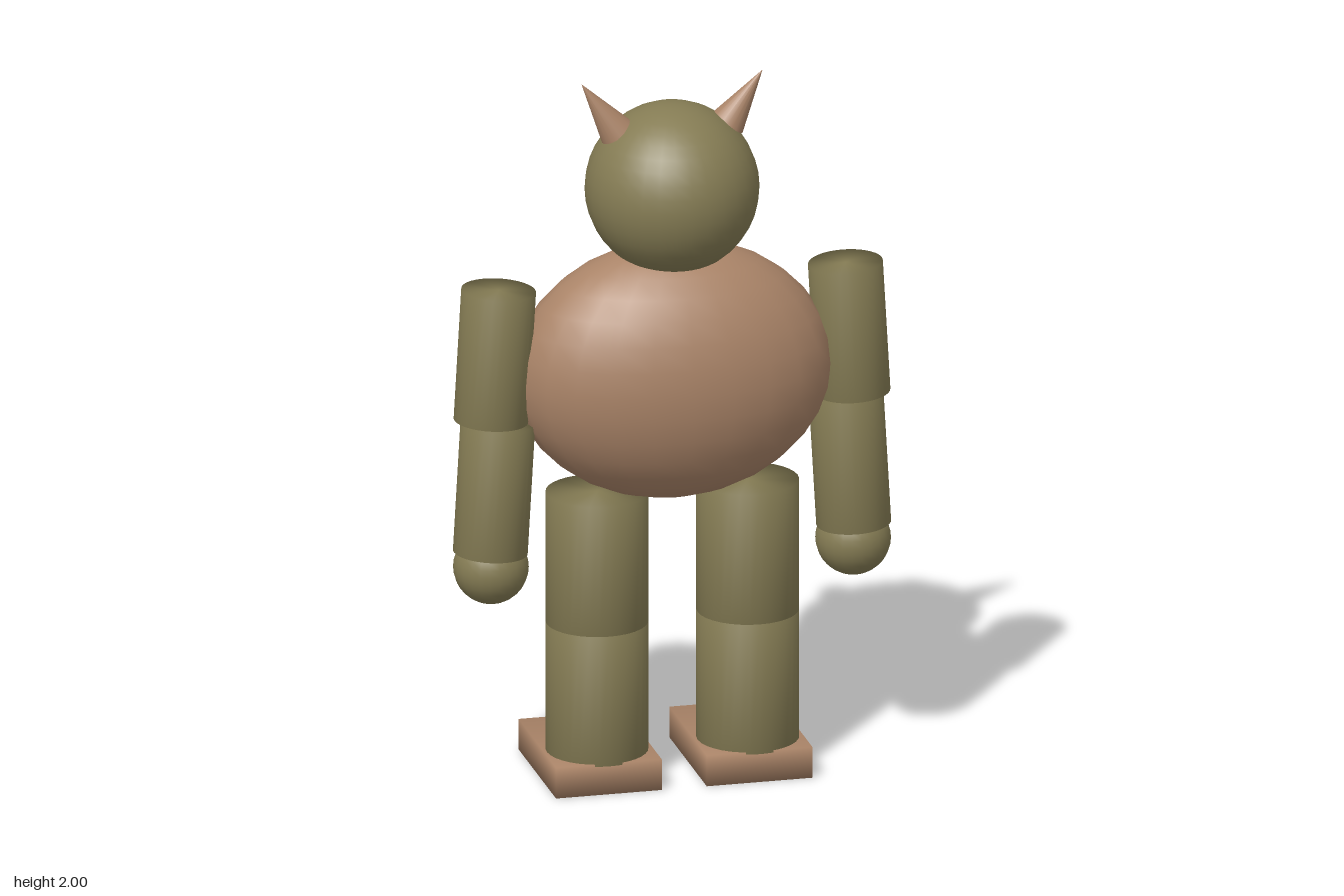
import * as THREE from 'three';
import { mergeVertices } from 'three/addons/utils/BufferGeometryUtils.js';

const olive = new THREE.MeshStandardMaterial({ name: 'oliveSkin', color: 0x857c54 });
const brown = new THREE.MeshStandardMaterial({ name: 'brownHide', color: 0xaa8468 });
const blue = new THREE.MeshStandardMaterial({ name: 'blueEye', color: 0x64c2da });

// Shares corners so that shading flows softly over every edge
function soften(geometry) {
  geometry.deleteAttribute('normal');
  geometry.deleteAttribute('uv');
  const merged = mergeVertices(geometry, 1e-4);
  merged.computeVertexNormals();
  return merged;
}

function add(group, name, geometry, material, x, y, z) {
  const mesh = new THREE.Mesh(geometry, material);
  mesh.name = name;
  mesh.position.set(x, y, z);
  group.add(mesh);
  return mesh;
}

export function createModel() {
  const model = new THREE.Group();
  model.name = 'hornedCreature';
  const zMid = 0.01;

  // Body and head
  const torso = add(model, 'torso', new THREE.SphereGeometry(1, 24, 16), brown, 0, 1.163, zMid);
  torso.scale.set(0.443, 0.363, 0.26);
  add(model, 'head', new THREE.SphereGeometry(0.238, 32, 20), olive, 0, 1.683, zMid);

  const armGeometry = soften(new THREE.CylinderGeometry(0.102, 0.102, 0.372, 32));
  const legGeometry = soften(new THREE.CylinderGeometry(0.14, 0.14, 0.372, 32));
  const footGeometry = soften(new THREE.BoxGeometry(0.296, 0.088, 0.42));
  const hornGeometry = new THREE.ConeGeometry(0.05, 0.176, 20);
  const eyeGeometry = new THREE.SphereGeometry(0.041, 16, 12);
  const handGeometry = new THREE.SphereGeometry(0.103, 24, 16);

  for (const [label, s] of [['left', 1], ['right', -1]]) {
    // Horn leaning outward
    const horn = add(model, label + 'Horn', hornGeometry, brown, s * 0.204, 1.926, zMid);
    horn.rotation.z = -s * 0.6;

    // Eyes sit on the -z side of the head
    add(model, label + 'Eye', eyeGeometry, blue, s * 0.106, 1.712, -0.21);

    // Arm sections splay slightly toward the hand
    const upperArm = add(model, label + 'UpperArm', armGeometry, olive, s * 0.496, 1.24, zMid);
    const forearm = add(model, label + 'Forearm', armGeometry, olive, s * 0.498, 0.862, zMid);
    upperArm.rotation.z = forearm.rotation.z = s * 0.057;
    add(model, label + 'Hand', handGeometry, olive, s * 0.507, 0.634, zMid);

    // Leg and foot, toes toward -z
    add(model, label + 'Thigh', legGeometry, olive, s * 0.211, 0.641, 0.014);
    add(model, label + 'Shin', legGeometry, olive, s * 0.211, 0.268, 0.014);
    add(model, label + 'Foot', footGeometry, brown, s * 0.211, 0.044, -0.062);
  }
  return model;
}
